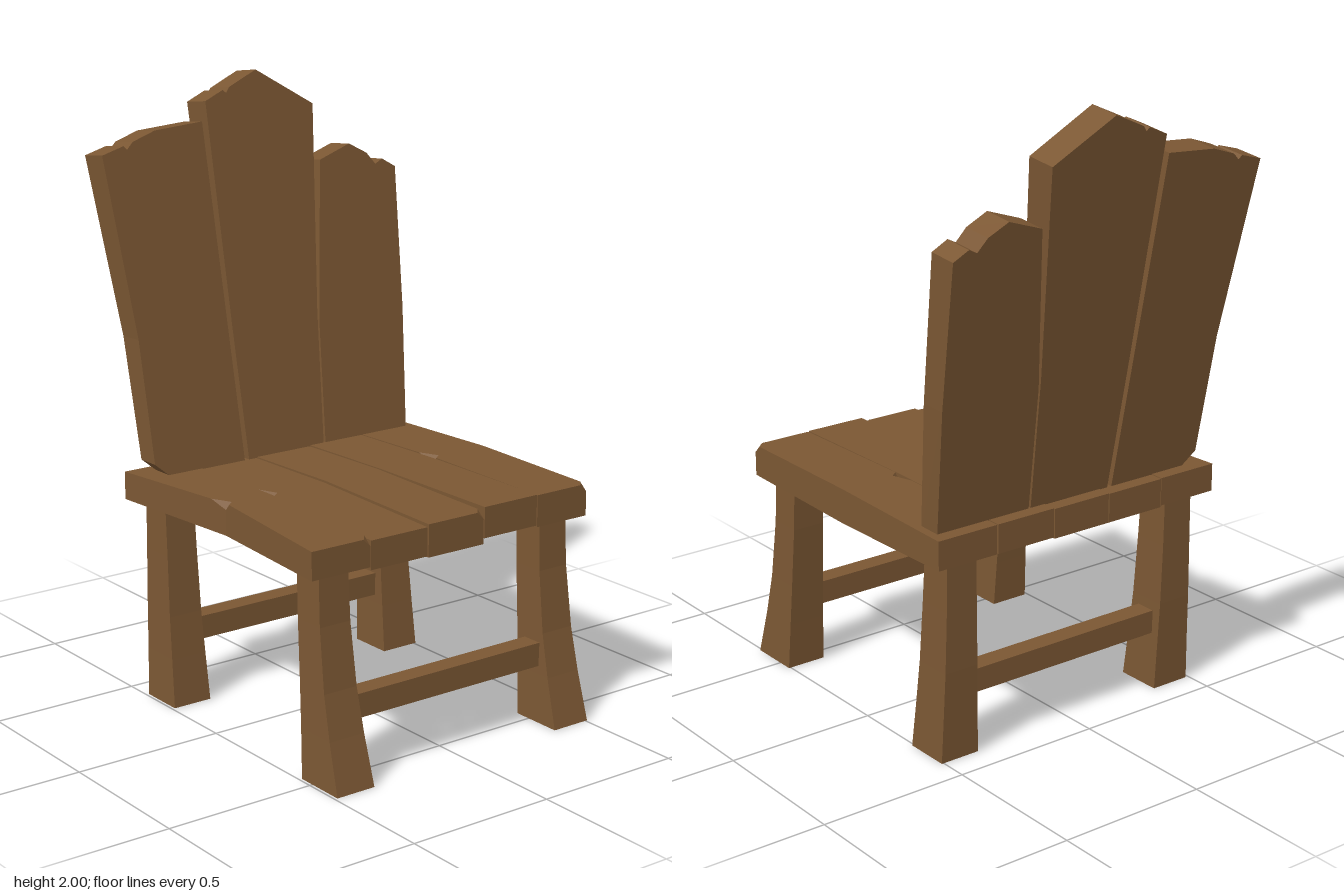
import * as THREE from 'three';

const wood = new THREE.MeshStandardMaterial({ color: 0x7b5733, flatShading: true });

// Skins a list of rings (arrays of [x, y, z]) and closes both ends.
function loft(rings) {
  const pos = [];
  const tri = (a, b, c) => pos.push(...a, ...b, ...c);
  const n = rings[0].length;
  for (let r = 0; r < rings.length - 1; r++) {
    const a = rings[r], b = rings[r + 1];
    for (let i = 0; i < n; i++) {
      const j = (i + 1) % n;
      tri(a[i], a[j], b[j]);
      tri(a[i], b[j], b[i]);
    }
  }
  const first = rings[0], last = rings[rings.length - 1];
  for (let i = 1; i < n - 1; i++) {
    tri(first[0], first[i + 1], first[i]);
    tri(last[0], last[i], last[i + 1]);
  }
  const g = new THREE.BufferGeometry();
  g.setAttribute('position', new THREE.Float32BufferAttribute(pos, 3));
  g.computeVertexNormals();
  return g;
}

function addPart(parent, name, geometry) {
  const mesh = new THREE.Mesh(geometry, wood);
  mesh.name = name;
  parent.add(mesh);
  return mesh;
}

// Leg rows: [y, back z, front z]; width flares towards the floor.
const FRONT_LEG = [[0, 0.447, 0.625], [0.16, 0.437, 0.58], [0.3, 0.427, 0.548], [0.5, 0.412, 0.522], [0.69, 0.404, 0.513]];
const BACK_LEG = [[0, -0.407, -0.252], [0.16, -0.412, -0.27], [0.3, -0.417, -0.285], [0.5, -0.42, -0.298], [0.69, -0.421, -0.31]];

function legGeometry(rows, cx) {
  return loft(rows.map(([y, z0, z1]) => {
    const w = 0.054 + 0.015 * Math.pow(1 - y / 0.69, 1.5);
    return [[cx - w, y, z1], [cx + w, y, z1], [cx + w, y, z0], [cx - w, y, z0]];
  }));
}

// Seat boards: edges and heights given at [back, middle, front].
const SEAT = [
  { x0: [-0.53, -0.478, -0.53], x1: [-0.315, -0.314, -0.316], top: [0.757, 0.765, 0.755], low: [0.665, 0.66, 0.665], chipL: 0.022, chipR: 0.025 },
  { x0: [-0.313, -0.31, -0.313], x1: [-0.102, -0.103, -0.1], top: [0.755, 0.763, 0.747], low: [0.66, 0.648, 0.655], chipL: 0.025, chipR: 0 },
  { x0: [-0.099, -0.098, -0.095], x1: [0.114, 0.114, 0.12], top: [0.757, 0.768, 0.755], low: [0.66, 0.645, 0.65], chipL: 0, chipR: 0.025 },
  { x0: [0.118, 0.119, 0.124], x1: [0.331, 0.332, 0.335], top: [0.76, 0.77, 0.768], low: [0.665, 0.652, 0.668], chipL: 0, chipR: 0 },
  { x0: [0.336, 0.337, 0.338], x1: [0.552, 0.552, 0.542], top: [0.76, 0.772, 0.766], low: [0.665, 0.658, 0.662], chipL: 0.025, chipR: 0.025 },
];
const Z_BACK = -0.46, Z_MID = 0.04, Z_FRONT = 0.555;

function seatBoardGeometry(b) {
  const at = (v, z) => z < Z_MID
    ? THREE.MathUtils.mapLinear(z, Z_BACK, Z_MID, v[0], v[1])
    : THREE.MathUtils.mapLinear(z, Z_MID, Z_FRONT, v[1], v[2]);
  return loft([Z_BACK, -0.03, Z_MID, 0.06, 0.525, Z_FRONT].map((z) => {
    const x0 = at(b.x0, z), x1 = at(b.x1, z), t = at(b.top, z), l = at(b.low, z);
    const cl = z === Z_MID ? b.chipL : 0;   // chip in the left edge
    const cr = z === Z_FRONT ? b.chipR : 0; // chipped front corner
    return [[x0, l, z], [x1, l, z], [x1, t - cr, z], [x1 - cr, t, z], [x0 + cl, t, z], [x0, t - cl, z]];
  }));
}

// Back boards: outlines seen from the front, counter-clockwise.
const BACK = {
  backBoardRight: [[-0.49, 0.8], [-0.42, 0.74], [-0.147, 0.74], [-0.165, 1.2], [-0.19, 1.853], [-0.37, 1.84],
    [-0.455, 1.812], [-0.478, 1.79], [-0.49, 1.802], [-0.57, 1.78], [-0.505, 1.2]],
  backBoardMiddle: [[-0.13, 0.74], [0.172, 0.74], [0.195, 1.2], [0.25, 1.875], [0.035, 2],
    [-0.075, 1.952], [-0.088, 1.935], [-0.1, 1.945], [-0.17, 1.915], [-0.148, 1.2]],
  backBoardLeft: [[0.18, 0.74], [0.522, 0.74], [0.553, 1.17], [0.57, 1.64], [0.518, 1.67], [0.488, 1.655],
    [0.455, 1.695], [0.385, 1.732], [0.26, 1.69], [0.2, 1.17]],
};

function backBoardGeometry(outline) {
  const shape = new THREE.Shape(outline.map(([x, y]) => new THREE.Vector2(x, y)));
  const g = new THREE.ExtrudeGeometry(shape, { depth: 1, bevelEnabled: false });
  const p = g.attributes.position;
  // Lean the board back and thicken it towards the top.
  for (let i = 0; i < p.count; i++) {
    const y = p.getY(i), behind = 1 - p.getZ(i), k = (y - 0.76) / 1.24;
    p.setZ(i, -0.335 - 0.18 * k - behind * (0.08 + 0.028 * k));
    p.setY(i, y - behind * 0.014 * Math.max(k, 0));
  }
  g.computeVertexNormals();
  return g;
}

export function createModel() {
  const chair = new THREE.Group();
  chair.name = 'chair';

  // Legs
  for (const [side, cx] of [['Right', -0.421], ['Left', 0.438]]) {
    addPart(chair, 'frontLeg' + side, legGeometry(FRONT_LEG, cx));
    addPart(chair, 'backLeg' + side, legGeometry(BACK_LEG, cx));
  }

  // Rungs between the legs
  for (const [name, z] of [['frontRung', 0.5], ['backRung', -0.348]]) {
    addPart(chair, name, new THREE.BoxGeometry(0.8, 0.078, 0.07)).position.set(0.008, 0.227, z);
  }

  // Seat
  const seat = new THREE.Group();
  seat.name = 'seat';
  SEAT.forEach((b, i) => addPart(seat, 'seatBoard' + (i + 1), seatBoardGeometry(b)));
  chair.add(seat);

  // Backrest
  const back = new THREE.Group();
  back.name = 'backrest';
  for (const [name, outline] of Object.entries(BACK)) addPart(back, name, backBoardGeometry(outline));
  chair.add(back);

  return chair;
}
